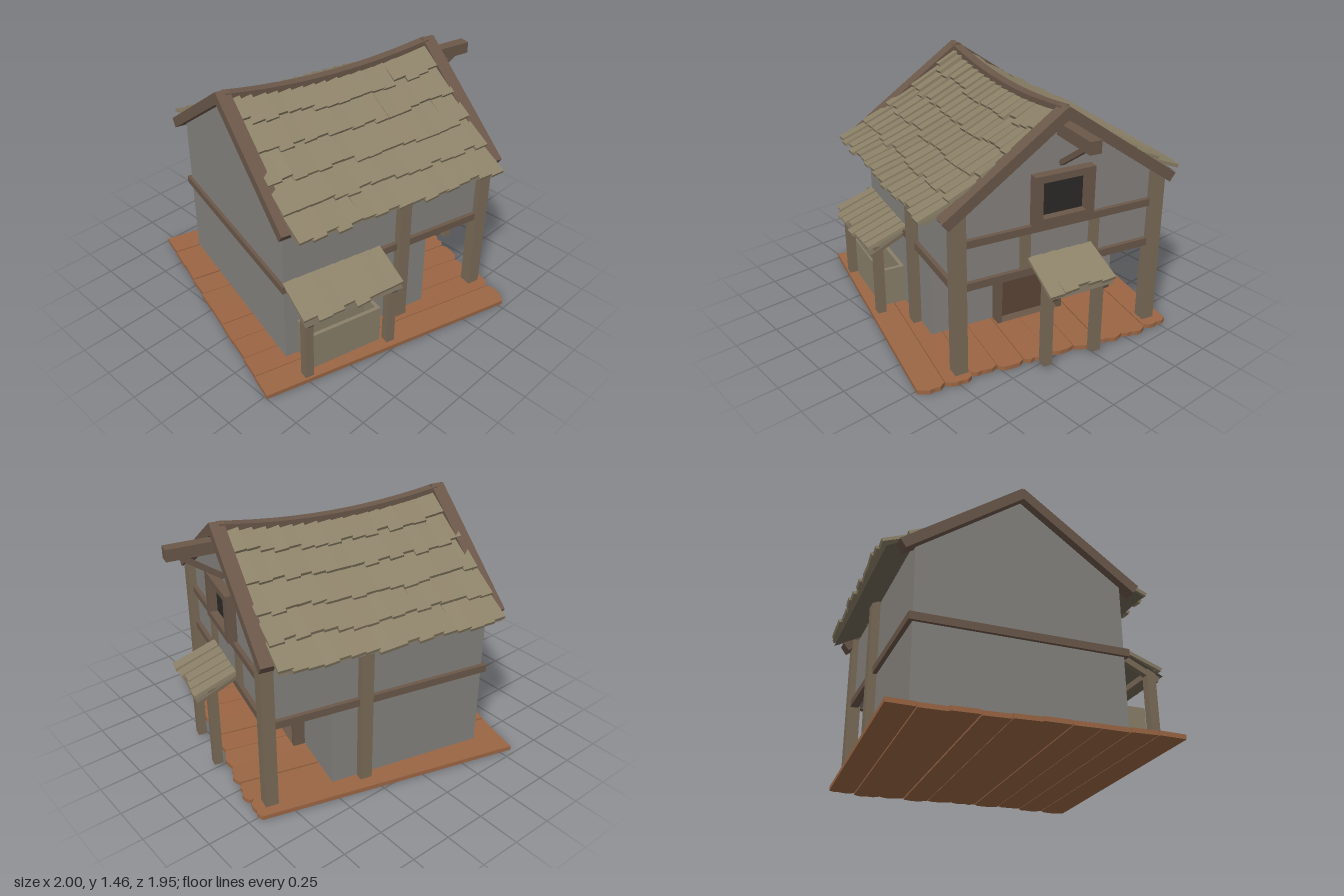
import * as THREE from 'three';
import { mergeGeometries } from 'three/addons/utils/BufferGeometryUtils.js';

const mat = (color, side = THREE.FrontSide) => new THREE.MeshStandardMaterial({ color, side, flatShading: true });
const WALL = mat(0x85827d), BEAM = mat(0x6b584a), POST = mat(0x7a6b58), SHINGLE = mat(0x8c8168);
const PLANK = mat(0x9b6644), DOOR = mat(0x5c4638), DARK = mat(0x2c2a27), TROUGH = mat(0x8a8069), DECK = mat(0x6f6656, THREE.DoubleSide);
const BASE = 0.04, HALF = 0.605, LEFT = -0.62, RIGHT = 0.7, MID = 0.03;

let seed = 7;
const rand = (a, b) => {
  seed = (seed * 16807) % 2147483647;
  return a + (b - a) * (seed / 2147483647);
};

function add(parent, name, geometry, material) {
  const mesh = new THREE.Mesh(geometry, material);
  mesh.name = name;
  parent.add(mesh);
  return mesh;
}

// Box given by its limits on each axis
function block(parent, name, material, [x0, x1], [y0, y1], [z0, z1]) {
  const g = new THREE.BoxGeometry(x1 - x0, y1 - y0, z1 - z0);
  g.translate((x0 + x1) / 2, (y0 + y1) / 2, (z0 + z1) / 2);
  return add(parent, name, g, material);
}

const post = (parent, name, x, z, top, w, material = POST) =>
  block(parent, name, material, [x - w / 2, x + w / 2], [BASE, top], [z - w / 2, z + w / 2]);

// Square-cut beam between two points
function beam(parent, name, a, b, w, h, material = BEAM) {
  const p = new THREE.Vector3(...a), q = new THREE.Vector3(...b);
  const mesh = add(parent, name, new THREE.BoxGeometry(w, h, p.distanceTo(q)), material);
  mesh.position.copy(p).add(q).multiplyScalar(0.5);
  mesh.lookAt(q);
  return mesh;
}

// Overlapping shingle rows; height(x, d) is the roof surface, d the distance out from its top edge
function shingles(height, x0, x1, depth, rows, cols) {
  const parts = [], step = depth / rows, w = (x1 - x0) / cols;
  for (let r = 0; r < rows; r++) {
    for (let c = 0; c < cols; c++) {
      const x = x0 + (c + 0.5) * w + rand(-0.006, 0.006);
      const dA = Math.max(0, r * step - 0.035), dB = (r + 1) * step + rand(-0.018, 0.014);
      const yA = height(x, dA) + 0.005, yB = height(x, dB) + 0.03;
      const g = new THREE.BoxGeometry(w * 1.06, 0.02, Math.hypot(dB - dA, yA - yB));
      g.rotateY(rand(-0.03, 0.03));
      g.rotateZ(0.13 + rand(-0.05, 0.05));
      g.rotateX(Math.atan2(yA - yB, dB - dA));
      g.translate(x, (yA + yB) / 2, (dA + dB) / 2);
      parts.push(g);
    }
  }
  return mergeGeometries(parts);
}

// Thin boarding under the shingles, following the same surface
function deck(height, x0, x1, depth) {
  const g = new THREE.PlaneGeometry(x1 - x0, depth, 10, 6);
  g.rotateX(-Math.PI / 2);
  g.translate((x0 + x1) / 2, 0, depth / 2);
  const p = g.attributes.position;
  for (let i = 0; i < p.count; i++) p.setY(i, height(p.getX(i), p.getZ(i)) - 0.01);
  g.computeVertexNormals();
  return g;
}

// Outline in the gable plane, extruded towards +x from the given x
function gablePanel(parent, name, shape, x, thickness, material) {
  const g = new THREE.ExtrudeGeometry(shape, { depth: thickness, bevelEnabled: false, curveSegments: 10 });
  g.rotateY(Math.PI / 2);
  g.translate(x, 0, 0);
  return add(parent, name, g, material);
}

function archPath(Kind, half, spring, top) {
  const s = new Kind();
  s.moveTo(-half, BASE);
  s.lineTo(half, BASE);
  s.lineTo(half, spring);
  s.quadraticCurveTo(half * 0.55, top, 0, top);
  s.quadraticCurveTo(-half * 0.55, top, -half, spring);
  s.closePath();
  return s;
}

function rectPath(Kind, half, y0, y1) {
  const s = new Kind();
  s.moveTo(-half, y0);
  s.lineTo(half, y0);
  s.lineTo(half, y1);
  s.lineTo(-half, y1);
  s.closePath();
  return s;
}

function buildFloor() {
  const floor = new THREE.Group();
  floor.name = 'floor';
  const n = 10, w = 1.57 / n;
  for (let i = 0; i < n; i++) {
    // Plank outline with a worn, ragged right end
    const s = new THREE.Shape(), end = 0.81 + rand(-0.035, 0.005);
    s.moveTo(-0.815 + rand(0, 0.01), 0);
    for (let k = 0; k <= 5; k++) s.lineTo(end - (k % 5 ? rand(0, 0.02) : 0.03), (k / 5) * (w - 0.004));
    s.lineTo(-0.815 + rand(0, 0.01), w - 0.004);
    const g = new THREE.ExtrudeGeometry(s, { depth: 0.026, bevelEnabled: false });
    g.rotateX(-Math.PI / 2);
    g.rotateX(rand(-0.03, 0.03));
    g.translate(0, 0.007 + rand(-0.003, 0.005), -0.785 + (i + 1) * w);
    add(floor, 'floorPlank', g, PLANK);
  }
  floor.rotation.y = THREE.MathUtils.degToRad(-16.4);
  return floor;
}

function buildRoof(house) {
  const sag = (x) => Math.max(0, 1 - ((x - MID) / 0.66) ** 2);
  const height = (x, d) => 1.425 - 0.74 * d + 0.15 * d * d - 0.06 * sag(x) * Math.max(0, 1 - d / 0.8);
  for (const side of [0, 1]) {
    const slope = new THREE.Group();
    slope.name = side ? 'backRoof' : 'frontRoof';
    const local = (x, d) => height(x + MID, d);
    add(slope, 'roofShingles', shingles(local, -0.65, 0.65, 0.79, 5, 17), SHINGLE);
    add(slope, 'roofDeck', deck(local, -0.65, 0.65, 0.76), DECK);
    slope.position.x = MID;
    slope.rotation.y = side * Math.PI;
    house.add(slope);
    // Barge boards at both gables
    const z = side ? -1 : 1;
    for (const x of [-0.63, 0.71]) beam(house, 'bargeBoard', [x, 1.437, -0.012 * z], [x, 0.945, 0.685 * z], 0.08, 0.06);
  }
  // Sagging ridge beam
  const ridge = new THREE.BoxGeometry(1.32, 0.05, 0.055, 12, 1, 1);
  ridge.translate(MID + 0.01, 1.43, 0);
  const p = ridge.attributes.position;
  for (let i = 0; i < p.count; i++) p.setY(i, p.getY(i) - 0.055 * sag(p.getX(i)));
  ridge.computeVertexNormals();
  add(house, 'ridgeBeam', ridge, BEAM);
}

function buildWalls(house) {
  block(house, 'lowerWalls', WALL, [LEFT, 0.324], [BASE, 0.54], [-HALF, HALF]);
  block(house, 'upperWalls', WALL, [LEFT, RIGHT - 0.01], [0.54, 1.0], [-HALF, HALF]);
  const gable = new THREE.Shape();
  gable.moveTo(-HALF, 0.99);
  gable.lineTo(HALF, 0.99);
  gable.lineTo(0, 1.425);
  gable.closePath();
  gablePanel(house, 'leftGable', gable, LEFT, 0.04, WALL);
  gablePanel(house, 'rightGable', gable, RIGHT - 0.05, 0.04, WALL);

  // Timber frame
  for (const z of [-1, 1]) {
    post(house, 'cornerPost', RIGHT, z * HALF, 1.0, 0.075);
    post(house, 'middlePost', 0.135, z * (HALF + 0.015), 1.0, 0.07);
    block(house, 'sideBelt', BEAM, [LEFT - 0.02, RIGHT + 0.01], [0.53, 0.575], [z * HALF - 0.025, z * HALF + 0.025]);
    block(house, 'gableStud', POST, [0.68, 0.715], [0.575, 0.78], [z * 0.212 - 0.027, z * 0.212 + 0.027]);
  }
  block(house, 'leftBelt', BEAM, [LEFT - 0.02, LEFT + 0.02], [0.53, 0.575], [-HALF, HALF]);
  block(house, 'rightBelt', BEAM, [0.67, 0.715], [0.53, 0.575], [-HALF, HALF]);
  block(house, 'upperRail', BEAM, [0.67, 0.715], [0.78, 0.823], [-HALF, HALF]);

  // Gable window
  const frame = rectPath(THREE.Shape, 0.18, 0.825, 1.11);
  frame.holes.push(rectPath(THREE.Path, 0.132, 0.865, 1.07));
  gablePanel(house, 'windowFrame', frame, 0.67, 0.075, BEAM);
  gablePanel(house, 'windowPane', rectPath(THREE.Shape, 0.14, 0.86, 1.08), 0.68, 0.018, DARK);

  // Arched door under the overhang
  const arch = archPath(THREE.Shape, 0.215, 0.39, 0.445);
  arch.holes.push(archPath(THREE.Path, 0.187, 0.365, 0.415));
  gablePanel(house, 'doorFrame', arch, 0.32, 0.075, BEAM);
  gablePanel(house, 'door', archPath(THREE.Shape, 0.19, 0.37, 0.42), 0.32, 0.015, DOOR);

  // Hoist beam and its brace
  block(house, 'hoistBeam', BEAM, [0.6, 1.0], [1.3, 1.37], [-0.033, 0.033]);
  beam(house, 'hoistBrace', [0.69, 1.14, 0], [0.93, 1.31, 0], 0.028, 0.028);
}

// Small shingled lean-to, built facing +z with its wall edge at z = 0
function leanTo(name, width, cols, depth, top, drop, postX, postZ, postTop) {
  const g = new THREE.Group(), h = (x, d) => top - (drop * d) / depth;
  g.name = name;
  add(g, 'leanToShingles', shingles(h, -width / 2, width / 2, depth, 1, cols), SHINGLE);
  add(g, 'leanToDeck', deck(h, -width / 2, width / 2, depth * 0.95), DECK);
  for (const s of [-1, 1]) {
    post(g, 'leanToPost', s * postX, postZ, postTop, 0.052);
    beam(g, 'leanToRafter', [s * postX, h(0, 0) - 0.03, 0], [s * postX, h(0, depth * 0.9) - 0.03, depth * 0.9], 0.035, 0.035, POST);
  }
  beam(g, 'leanToRail', [-postX, postTop - 0.02, postZ], [postX, postTop - 0.02, postZ], 0.035, 0.035, POST);
  return g;
}

function buildTrough(house) {
  const trough = new THREE.Group(), x = [-0.54, -0.09], y = [BASE, 0.28], z = [HALF, 0.76], t = 0.022;
  trough.name = 'trough';
  block(trough, 'troughFront', TROUGH, x, y, [z[1] - t, z[1]]);
  block(trough, 'troughBack', TROUGH, x, y, [z[0], z[0] + t]);
  block(trough, 'troughEnd', TROUGH, [x[0], x[0] + t], y, [z[0] + t, z[1] - t]);
  block(trough, 'troughEnd', TROUGH, [x[1] - t, x[1]], y, [z[0] + t, z[1] - t]);
  block(trough, 'troughBottom', TROUGH, [x[0] + t, x[1] - t], [BASE, 0.1], [z[0] + t, z[1] - t]);
  house.add(trough);
}

export function createModel() {
  const model = new THREE.Group();
  model.name = 'timberHouse';
  model.add(buildFloor());

  const house = new THREE.Group();
  house.name = 'house';
  buildWalls(house);
  buildRoof(house);
  buildTrough(house);

  const stall = leanTo('stallRoof', 0.62, 8, 0.25, 0.575, 0.12, 0.268, 0.175, 0.49);
  stall.position.set(-0.312, 0, HALF);
  house.add(stall);

  const awning = leanTo('doorAwning', 0.39, 5, 0.25, 0.63, 0.12, 0.155, 0.14, 0.565);
  awning.position.set(0.71, 0, 0);
  awning.rotation.y = Math.PI / 2;
  house.add(awning);

  house.position.set(0.012, 0, -0.049);
  house.rotation.y = THREE.MathUtils.degToRad(-14);
  model.add(house);
  return model;
}
